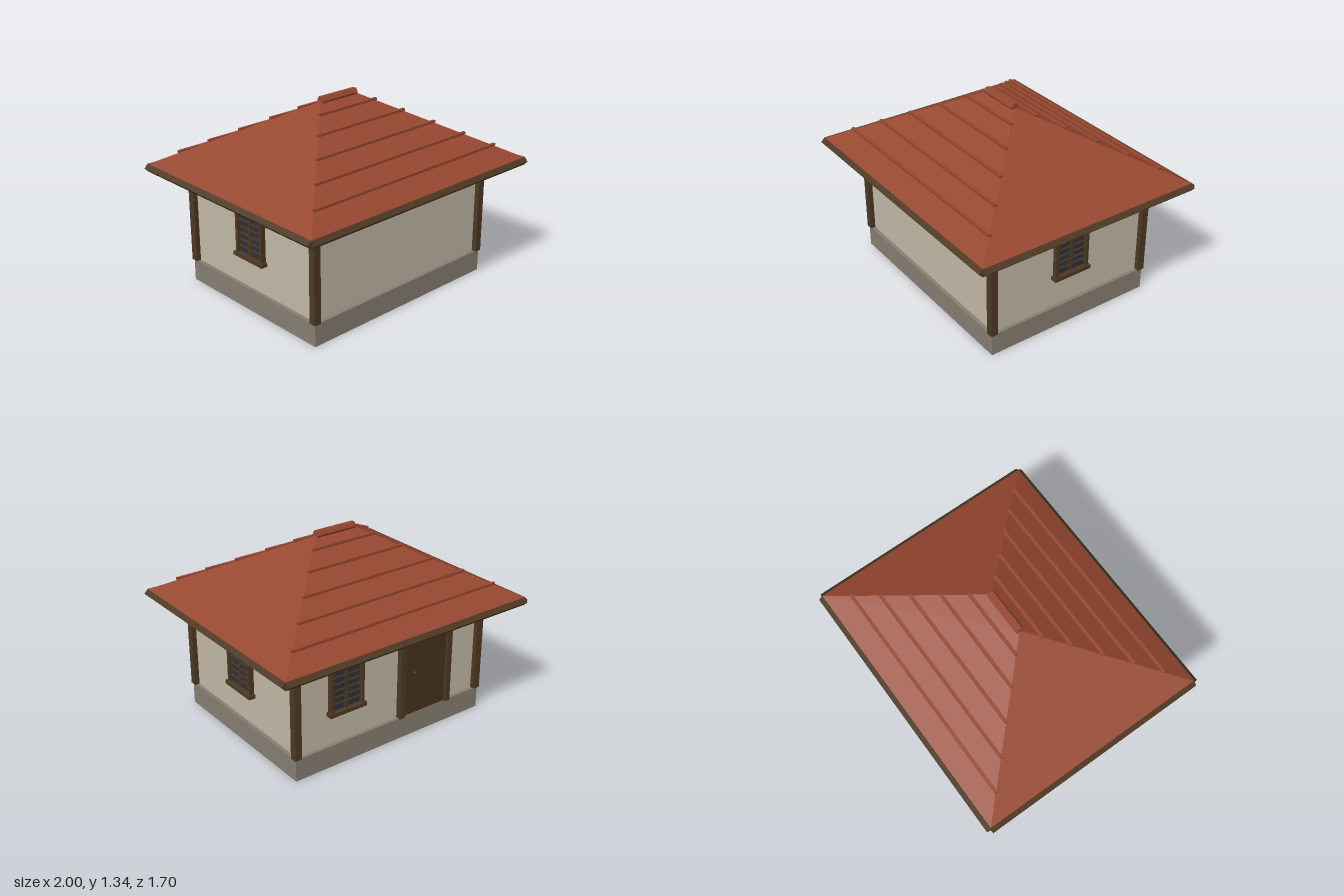
import * as THREE from 'three';

const mat = (name, color) => {
  const m = new THREE.MeshStandardMaterial({ color });
  m.name = name;
  return m;
};

export function createModel() {
  const plaster = mat('plaster', 0xc2b9a7);
  const stone = mat('stone', 0x877e72);
  const wood = mat('wood', 0x4d3923);
  const doorWood = mat('doorWood', 0x46321f);
  const tile = mat('roofTile', 0x964730);
  const glass = mat('glass', 0x2e313c);

  const house = new THREE.Group();
  house.name = 'house';

  const add = (parent, name, geometry, material, x = 0, y = 0, z = 0) => {
    const mesh = new THREE.Mesh(geometry, material);
    mesh.name = name;
    mesh.position.set(x, y, z);
    parent.add(mesh);
    return mesh;
  };
  // box given by its min and max on each axis
  const block = (parent, name, material, [x0, x1], [y0, y1], [z0, z1]) =>
    add(parent, name, new THREE.BoxGeometry(x1 - x0, y1 - y0, z1 - z0), material,
      (x0 + x1) / 2, (y0 + y1) / 2, (z0 + z1) / 2);

  const wallX = 0.75, wallZ = 0.6, base = 0.155, beamY = 0.795, eaveY = 0.84;

  // foundation and walls
  block(house, 'foundation', stone, [-0.775, 0.775], [0, base], [-0.625, 0.625]);
  block(house, 'walls', plaster, [-wallX, wallX], [base, eaveY], [-wallZ, wallZ]);

  // corner posts and wall-top beams
  for (const s of [-1, 1]) {
    for (const t of [-1, 1]) {
      add(house, 'cornerPost', new THREE.BoxGeometry(0.05, eaveY - base, 0.05), wood,
        s * 0.76, (eaveY + base) / 2, t * 0.61);
    }
    add(house, 'longBeam', new THREE.BoxGeometry(1.47, eaveY - beamY, 0.045), wood,
      0, (eaveY + beamY) / 2, s * 0.61);
    add(house, 'shortBeam', new THREE.BoxGeometry(0.045, eaveY - beamY, 1.17), wood,
      s * 0.76, (eaveY + beamY) / 2, 0);
  }

  // eaves: flat soffit edged by diamond-section rails
  const roofX = 0.972, roofZ = 0.822, roofY = 0.856, ridgeY = 1.31, ridgeX = 0.15;
  block(house, 'soffit', wood, [-roofX, roofX], [eaveY, roofY], [-roofZ, roofZ]);
  const rail = (length) => {
    const g = new THREE.CylinderGeometry(0.028, 0.028, length, 4).toNonIndexed();
    g.computeVertexNormals();
    return g.rotateZ(Math.PI / 2);
  };
  for (const s of [-1, 1]) {
    add(house, 'longEaveRail', rail(2 * roofX), wood, 0, 0.832, s * roofZ);
    add(house, 'shortEaveRail', rail(2 * roofZ).rotateY(Math.PI / 2), wood, s * roofX, 0.832, 0);
  }

  // hipped roof: a box whose top is pinched into the ridge
  const hip = new THREE.BoxGeometry(2 * roofX, ridgeY - roofY, 2 * roofZ);
  const p = hip.attributes.position;
  for (let i = 0; i < p.count; i++) {
    if (p.getY(i) > 0) {
      p.setX(i, Math.sign(p.getX(i)) * ridgeX);
      p.setZ(i, 0);
    }
  }
  const roofGeometry = hip.toNonIndexed();
  roofGeometry.computeVertexNormals();
  add(house, 'roof', roofGeometry, tile, 0, (ridgeY + roofY) / 2, 0);

  // hexagonal ridge cap
  const cap = new THREE.CylinderGeometry(0.03, 0.03, 0.31, 6).toNonIndexed();
  cap.computeVertexNormals();
  // one corner of the hexagon points up
  add(house, 'ridgeCap', cap.rotateY(Math.PI / 2).rotateZ(Math.PI / 2), tile, 0, 1.314, 0)
    .rotation.x = Math.PI / 2;

  // tile battens on the long slopes
  for (const z of [0.67, 0.525, 0.38, 0.233, 0.1]) {
    const y = ridgeY - (ridgeY - roofY) * z / roofZ + 0.009;
    for (const s of [-1, 1]) {
      add(house, 'roofBatten', new THREE.BoxGeometry(2 * (z + 0.155), 0.016, 0.021), tile, 0, y, s * z);
    }
  }

  // window, built facing +z on the wall plane z = 0
  const makeWindow = (name, x, z, turn) => {
    const w = new THREE.Group();
    w.name = name;
    block(w, 'pane', glass, [-0.115, 0.115], [0.395, 0.68], [-0.01, 0.012]);
    for (const s of [-1, 1]) {
      add(w, 'jamb', new THREE.BoxGeometry(0.022, 0.28, 0.045), wood, s * 0.12, 0.537, 0.0125);
    }
    block(w, 'lintel', wood, [-0.135, 0.135], [0.676, 0.7], [-0.01, 0.037]);
    block(w, 'sill', wood, [-0.144, 0.144], [0.37, 0.397], [-0.01, 0.047]);
    block(w, 'mullion', wood, [-0.01, 0.01], [0.395, 0.68], [0, 0.025]);
    for (let i = 1; i < 6; i++) {
      add(w, 'glazingBar', new THREE.BoxGeometry(0.22, 0.008, 0.02), wood, 0, 0.397 + i * 0.0465, 0.012);
    }
    w.position.set(x, 0, z);
    w.rotation.y = turn;
    house.add(w);
  };
  makeWindow('leftWindow', wallX, 0, Math.PI / 2);
  makeWindow('rightWindow', -wallX, 0, -Math.PI / 2);
  makeWindow('backWindow', 0.375, -wallZ, Math.PI);

  // double door on the back wall
  const door = new THREE.Group();
  door.name = 'door';
  for (const s of [-1, 1]) {
    block(door, 'doorJamb', wood, [s * 0.2 - 0.02, s * 0.2 + 0.02], [base, beamY], [-0.01, 0.042]);
    block(door, 'doorLeaf', doorWood, [s * 0.0915 - 0.0895, s * 0.0915 + 0.0895], [base, beamY], [-0.01, 0.022]);
  }
  block(door, 'doorSeam', wood, [-0.004, 0.004], [base, beamY], [-0.01, 0.016]);
  add(door, 'doorKnob', new THREE.SphereGeometry(0.01, 10, 8), wood, -0.09, 0.46, 0.028);
  door.position.set(-0.278, 0, -wallZ);
  door.rotation.y = Math.PI;
  house.add(door);

  return house;
}
